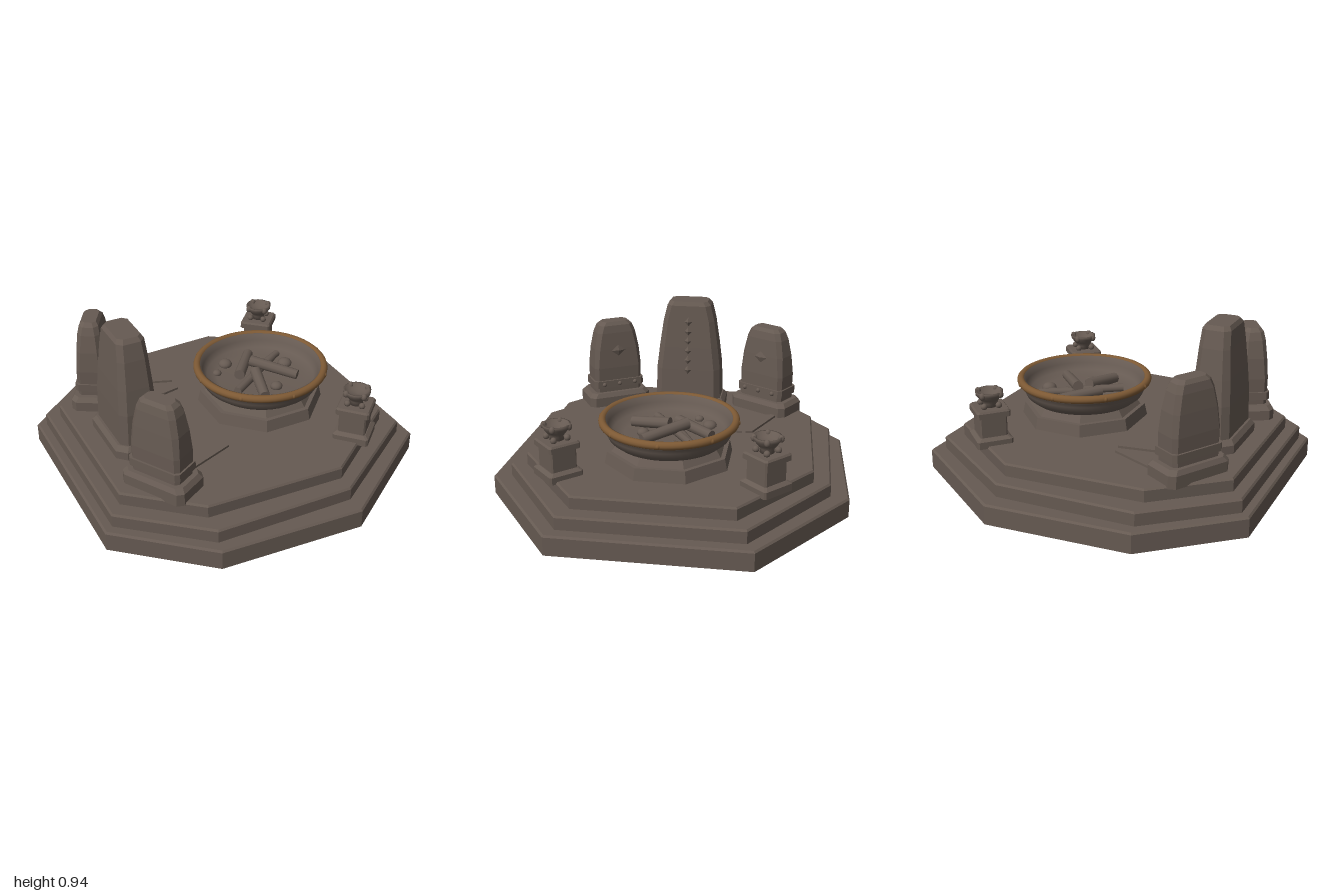
import * as THREE from 'three';

const stone = new THREE.MeshStandardMaterial({ color: 0x665a52 });
stone.name = 'stone';
const bronze = new THREE.MeshStandardMaterial({ color: 0x7d5934 });
bronze.name = 'bronze';

function add(parent, name, geometry, material = stone, x = 0, y = 0, z = 0) {
  const mesh = new THREE.Mesh(geometry, material);
  mesh.name = name;
  mesh.position.set(x, y, z);
  parent.add(mesh);
  return mesh;
}

// Faceted solid through stacked rings: [{ y, pts: [[x, z], ...] }, ...]
function loft(rings) {
  const out = [];
  const at = (r, i) => {
    const p = r.pts[i % r.pts.length];
    return [p[0], r.y, p[1]];
  };
  const mid = (r) => {
    const n = r.pts.length;
    return [r.pts.reduce((s, p) => s + p[0], 0) / n, r.y, r.pts.reduce((s, p) => s + p[1], 0) / n];
  };
  const n = rings[0].pts.length;
  const low = rings[0], top = rings[rings.length - 1];
  for (let i = 0; i < n; i++) {
    for (let k = 0; k < rings.length - 1; k++) {
      const a = at(rings[k], i), b = at(rings[k], i + 1);
      const c = at(rings[k + 1], i + 1), d = at(rings[k + 1], i);
      out.push(...a, ...d, ...c, ...a, ...c, ...b);
    }
    out.push(...mid(low), ...at(low, i), ...at(low, i + 1));
    out.push(...mid(top), ...at(top, i + 1), ...at(top, i));
  }
  const g = new THREE.BufferGeometry();
  g.setAttribute('position', new THREE.Float32BufferAttribute(out, 3));
  g.computeVertexNormals();
  return g;
}

// Rectangle with cut corners, half sizes a (x) and b (z)
function cutRect(a, b, c) {
  return [[a, b - c], [a - c, b], [c - a, b], [-a, b - c], [-a, c - b], [c - a, -b], [a - c, -b], [a, c - b]];
}
const block = (rows) => loft(rows.map(([y, a, b, c]) => ({ y, pts: cutRect(a, b, c) })));

// Eight-sided platform tier with a small worn top edge
function tier(front, y0, y1) {
  const pts = [...front, ...front.slice().reverse().map(([x, z]) => [x, -z])];
  const worn = pts.map(([x, z]) => [x * 0.99, z * 0.99]);
  return loft([{ y: y0, pts }, { y: y1 - 0.01, pts }, { y: y1, pts: worn }]);
}

// Thin raised diamond on a face looking along +x
function diamond(parent, name, x, y, w, h) {
  const g = new THREE.OctahedronGeometry(1);
  g.scale(0.012, h, w);
  add(parent, name, g, stone, x, y, 0);
}

function sideStele(z) {
  const g = new THREE.Group();
  g.name = 'sideStele';
  g.position.set(-0.6, 0, z);
  g.rotation.y = Math.sign(z) * 0.53;
  add(g, 'stelePlinth', block([[0.25, 0.115, 0.195, 0.03], [0.32, 0.115, 0.195, 0.03], [0.345, 0.1, 0.175, 0.03]]));
  add(g, 'steleBody', block([
    [0.34, 0.078, 0.148, 0.02], [0.5, 0.08, 0.152, 0.022], [0.62, 0.073, 0.142, 0.025],
    [0.72, 0.064, 0.122, 0.025], [0.765, 0.055, 0.105, 0.025], [0.785, 0.04, 0.082, 0.02]]));
  add(g, 'steleBand', block([[0.375, 0.09, 0.16, 0.02], [0.42, 0.09, 0.16, 0.02]]));
  for (const s of [-1, 0, 1]) {
    add(g, 'bandStud', new THREE.SphereGeometry(0.014, 10, 8), stone, 0.09, 0.397, s * 0.1);
  }
  diamond(g, 'steleEye', 0.076, 0.61, 0.045, 0.035);
  return g;
}

function centreStele() {
  const g = new THREE.Group();
  g.name = 'centreStele';
  g.position.set(-0.595, 0, 0);
  add(g, 'stelePlinth', block([[0.25, 0.145, 0.225, 0.05], [0.31, 0.145, 0.225, 0.05], [0.335, 0.125, 0.205, 0.045]]));
  add(g, 'steleBody', block([
    [0.33, 0.112, 0.198, 0.035], [0.52, 0.108, 0.194, 0.035], [0.66, 0.1, 0.178, 0.035],
    [0.82, 0.087, 0.155, 0.03], [0.915, 0.08, 0.132, 0.03], [0.938, 0.066, 0.112, 0.025]]));
  for (let i = 0; i < 6; i++) diamond(g, 'steleGlyph', 0.108 - i * 0.0038, 0.52 + i * 0.06, 0.022, 0.028);
  return g;
}

function cornerBrazier(z) {
  const g = new THREE.Group();
  g.name = 'cornerBrazier';
  g.position.set(0.535, 0, z);
  g.rotation.y = Math.sign(z) * 0.75;
  add(g, 'pillarFoot', block([[0.25, 0.1, 0.1, 0.01], [0.29, 0.1, 0.1, 0.01], [0.305, 0.08, 0.08, 0.01]]));
  add(g, 'pillarShaft', block([[0.3, 0.076, 0.076, 0.008], [0.425, 0.076, 0.076, 0.008]]));
  add(g, 'pillarCap', block([[0.42, 0.093, 0.093, 0.01], [0.45, 0.093, 0.093, 0.01], [0.46, 0.085, 0.085, 0.01]]));
  // Small dish on a stem, held by four claws
  const dish = [[0, 0.455], [0.04, 0.455], [0.035, 0.48], [0.055, 0.505], [0.074, 0.53], [0.076, 0.548],
    [0.066, 0.548], [0.045, 0.522], [0, 0.518]].map(([x, y]) => new THREE.Vector2(x, y));
  add(g, 'smallDish', new THREE.LatheGeometry(dish, 20));
  for (let i = 0; i < 4; i++) {
    const a = (i + 0.5) * Math.PI / 2, x = Math.cos(a), zz = Math.sin(a);
    add(g, 'dishFoot', new THREE.SphereGeometry(0.018, 10, 8), stone, x * 0.058, 0.472, zz * 0.058);
    const claw = add(g, 'dishClaw', new THREE.SphereGeometry(0.017, 10, 8), stone, x * 0.07, 0.535, zz * 0.07);
    claw.scale.y = 1.2;
  }
  return g;
}

function fireBowl() {
  const g = new THREE.Group();
  g.name = 'fireBowl';
  g.position.set(0.24, 0, 0);
  const turn = Math.PI / 8;
  add(g, 'bowlFoot', new THREE.CylinderGeometry(0.35, 0.365, 0.07, 8).toNonIndexed()).position.y = 0.295;
  add(g, 'bowlCollar', new THREE.CylinderGeometry(0.29, 0.325, 0.05, 8).toNonIndexed()).position.y = 0.355;
  for (const m of g.children) {
    m.rotation.y = turn;
    m.geometry.computeVertexNormals();
  }
  const profile = [[0.26, 0.36], [0.3, 0.372], [0.335, 0.4], [0.352, 0.435], [0.355, 0.455], [0.37, 0.465],
    [0.37, 0.5], [0.345, 0.5], [0.335, 0.46], [0.31, 0.425], [0.25, 0.405], [0, 0.398]];
  add(g, 'bowl', new THREE.LatheGeometry(profile.map(([x, y]) => new THREE.Vector2(x, y)), 48));
  const rim = new THREE.TorusGeometry(0.366, 0.022, 12, 64).rotateX(Math.PI / 2);
  add(g, 'bowlRim', rim, bronze, 0, 0.487, 0);
  for (let i = 0; i < 8; i++) {
    const a = i * Math.PI / 4;
    add(g, 'rimRivet', new THREE.SphereGeometry(0.015, 10, 8), bronze, Math.cos(a) * 0.377, 0.487, Math.sin(a) * 0.377);
  }
  return g;
}

// Log between two floor points: x, z, height at each end and radius
function log(parent, [x0, z0, y0, x1, z1, y1, r]) {
  const a = new THREE.Vector3(x0, y0, z0), b = new THREE.Vector3(x1, y1, z1);
  const m = add(parent, 'log', new THREE.CylinderGeometry(r * 0.9, r, a.distanceTo(b), 10));
  m.position.copy(a).add(b).multiplyScalar(0.5);
  m.quaternion.setFromUnitVectors(new THREE.Vector3(0, 1, 0), b.sub(a).normalize());
}

export function createModel() {
  const model = new THREE.Group();
  model.name = 'stoneShrine';

  // Stepped platform
  add(model, 'lowerTier', tier([[0.96, 0.535], [0.31, 0.998], [-0.495, 0.95], [-0.96, 0.55]], 0, 0.113));
  add(model, 'middleTier', tier([[0.89, 0.49], [0.3, 0.895], [-0.48, 0.88], [-0.91, 0.52]], 0.1, 0.19));
  add(model, 'upperTier', tier([[0.8, 0.43], [0.3, 0.8], [-0.48, 0.765], [-0.84, 0.46]], 0.18, 0.263));

  // Broken slabs lying on the deck
  const slabs = [
    [[-0.15, 0.36], [-0.45, 0.47], [-0.42, 0.4], [-0.21, 0.32]],
    [[-0.15, -0.3], [-0.25, -0.28], [-0.42, -0.33], [-0.15, -0.37]],
    [[-0.15, -0.39], [-0.43, -0.49], [-0.45, -0.56], [-0.16, -0.43]],
  ];
  for (const pts of slabs) add(model, 'deckSlab', loft([{ y: 0.255, pts }, { y: 0.276, pts }]));

  model.add(centreStele(), fireBowl());
  for (const s of [-1, 1]) model.add(sideStele(s * 0.48), cornerBrazier(s * 0.555));

  // Logs and stones in the bowl
  const logs = [
    [0.04, 0.1, 0.42, 0.4, -0.14, 0.42, 0.024], [0.28, -0.08, 0.42, 0.45, -0.17, 0.42, 0.022],
    [0.12, -0.03, 0.435, 0.29, -0.24, 0.425, 0.032], [0.21, 0, 0.45, 0.15, 0.22, 0.425, 0.034],
    [0.23, -0.1, 0.465, 0.42, 0.12, 0.435, 0.032],
  ];
  for (const l of logs) log(model, l);
  for (const [x, z, r] of [[0.12, -0.21, 0.04], [0.03, -0.14, 0.026], [0.44, -0.06, 0.042], [0.27, 0.14, 0.035]]) {
    add(model, 'emberStone', new THREE.SphereGeometry(r, 14, 10), stone, x, 0.412, z).scale.y = 0.75;
  }
  return model;
}
